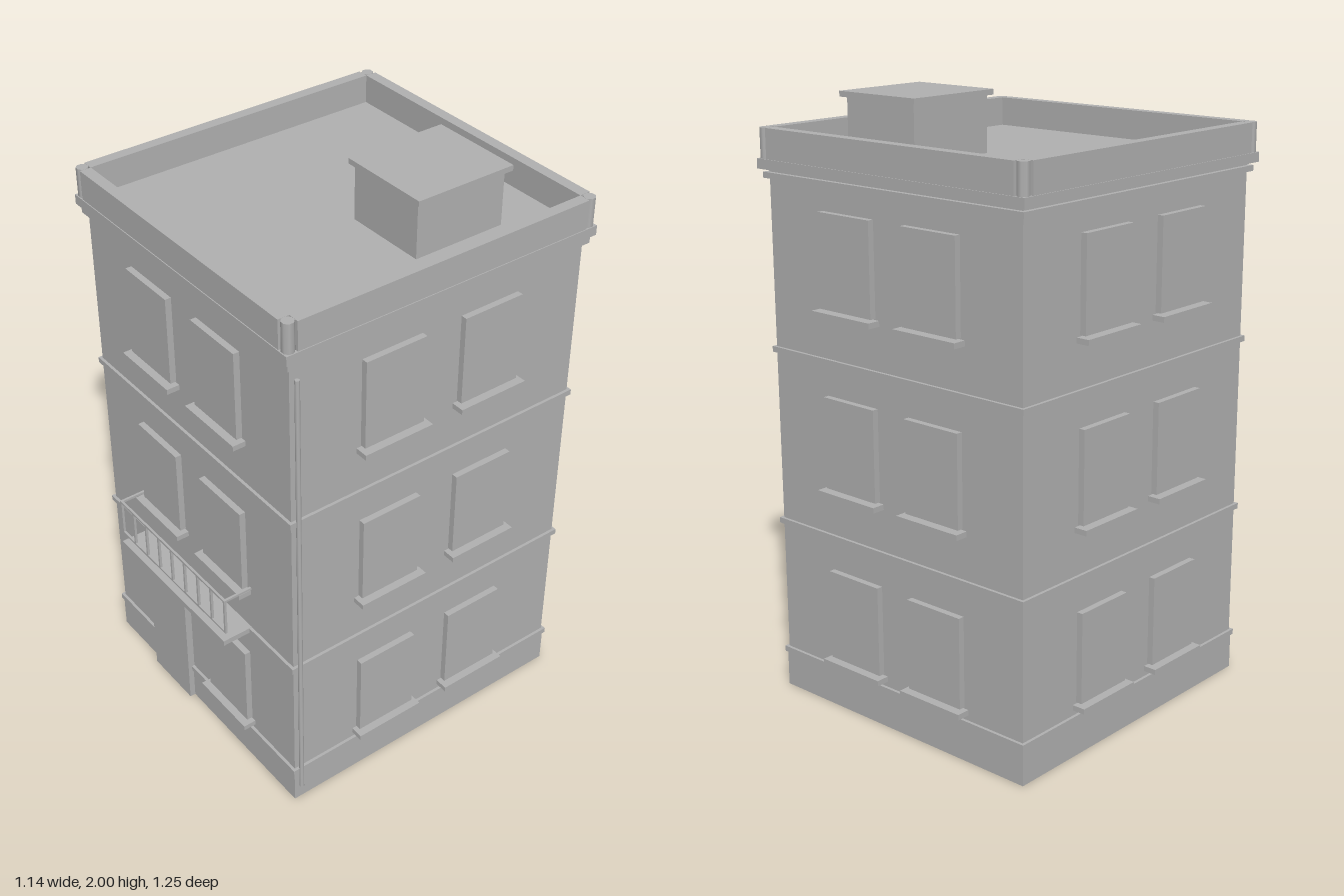
import * as THREE from 'three';

const CZ = -0.035;              // building centre in z (the balcony reaches further forward)
const HX = 0.524, HZ = 0.546;   // half width and half depth of the walls
const FLOOR = 0.588;            // storey height

export function createModel() {
  const model = new THREE.Group();
  model.name = 'apartmentBuilding';
  const plaster = new THREE.MeshStandardMaterial({ color: 0xb0b0b0 });
  plaster.name = 'grey plaster';

  const add = (parent, name, geometry, x, y, z) => {
    const mesh = new THREE.Mesh(geometry, plaster);
    mesh.name = name;
    mesh.position.set(x, y, z);
    parent.add(mesh);
    return mesh;
  };
  // Box given by its lower and upper limits
  const box = (parent, name, x0, x1, y0, y1, z0, z1) =>
    add(parent, name, new THREE.BoxGeometry(x1 - x0, y1 - y0, z1 - z0),
      (x0 + x1) / 2, (y0 + y1) / 2, (z0 + z1) / 2);
  // Block around the whole building, standing proud of the walls
  const ring = (name, y0, y1, out) =>
    box(model, name, -HX - out, HX + out, y0, y1, CZ - HZ - out, CZ + HZ + out);

  // Walls, plinth, string courses and cornice
  ring('walls', 0, 1.79, 0);
  ring('plinth', 0, 0.13, 0.004);
  for (const y of [0.122, 0.587, 1.174]) ring('stringCourse', y, y + 0.019, 0.01);
  ring('lowerCornice', 1.737, 1.756, 0.015);
  ring('upperCornice', 1.766, 1.798, 0.027);

  // Parapet walls with a round post in each corner notch
  const px = HX + 0.024, pz = HZ + 0.024, t = 0.038;
  for (const s of [-1, 1]) {
    const wx = s * (px - t / 2), wz = CZ + s * (pz - t / 2);
    box(model, 'parapetSide', wx - t / 2, wx + t / 2, 1.798, 1.895, CZ - pz + t, CZ + pz - t);
    box(model, 'parapetEnd', -px + t, px - t, 1.798, 1.895, wz - t / 2, wz + t / 2);
    for (const e of [-1, 1]) {
      const post = add(model, 'parapetPost', new THREE.CylinderGeometry(0.02, 0.02, 0.097, 8),
        e * (px - t / 2), 1.8465, wz);
      post.rotation.y = Math.PI / 8;
    }
  }

  // Roof hatch
  box(model, 'roofHatch', 0.085, 0.375, 1.79, 1.982, -0.382, -0.054);
  box(model, 'roofHatchCap', 0.068, 0.393, 1.982, 2, -0.398, -0.042);

  // Windows and sills on all four walls, built facing +z and turned
  for (let side = 0; side < 4; side++) {
    const wall = new THREE.Group();
    wall.name = ['frontWindows', 'leftWindows', 'backWindows', 'rightWindows'][side];
    wall.position.z = CZ;
    wall.rotation.y = side * Math.PI / 2;
    model.add(wall);
    const depth = side % 2 ? HX : HZ;
    const offset = side % 2 ? 0.183 : 0.176;
    for (let floor = 0; floor < 3; floor++) {
      for (const s of [-1, 1]) {
        if (side === 0 && floor === 0 && s < 0) continue; // the door is here
        const x = s * offset, y = 0.181 + floor * FLOOR;
        box(wall, 'window', x - 0.11, x + 0.11, y, y + 0.303, depth - 0.01, depth + 0.021);
        box(wall, 'windowSill', x - 0.126, x + 0.126, y - 0.022, y - 0.004, depth - 0.01, depth + 0.045);
      }
    }
  }

  // Front door
  box(model, 'door', -0.287, -0.068, 0, 0.468, 0.5, 0.535);

  // Balcony slab and railing
  const balcony = new THREE.Group();
  balcony.name = 'balcony';
  model.add(balcony);
  box(balcony, 'balconySlab', -0.302, 0.302, 0.588, 0.607, 0.5, 0.62);
  const r = 0.004, rz = 0.61;
  for (const y of [0.644, 0.774]) {
    box(balcony, 'frontRail', -0.306, 0.306, y - r, y + r, rz - r, rz + r);
  }
  for (const x of [-0.302, 0.302]) {
    box(balcony, 'sideRail', x - r, x + r, 0.77, 0.778, 0.5, rz);
  }
  for (let i = 0; i < 9; i++) {
    const x = -0.302 + i * 0.0755;
    box(balcony, 'baluster', x - r, x + r, 0.64, 0.774, rz - r, rz + r);
  }

  // Drainpipe near the front left corner
  add(model, 'drainpipe', new THREE.CylinderGeometry(0.008, 0.008, 1.637, 8), 0.537, 0.8785, 0.493);

  return model;
}
